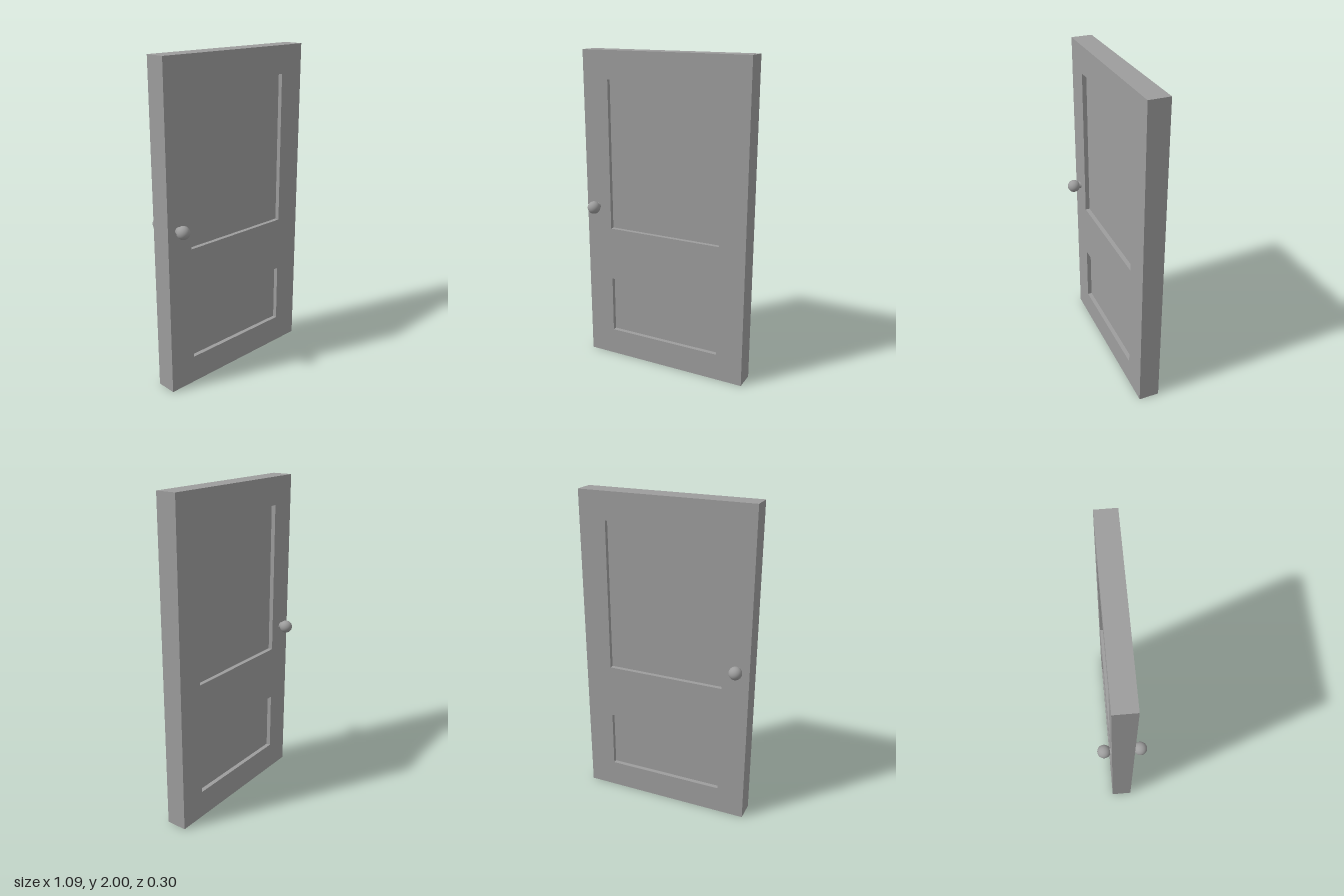
import * as THREE from 'three';

const W = 1.088, H = 2, BACK = -0.066, FRONT = 0.063, RECESS = 0.027;
const PANEL_HALF = 0.374;
const PANELS = [
  { name: 'lowerPanel', y0: 0.174, y1: 0.543 },
  { name: 'upperPanel', y0: 0.888, y1: 1.829 },
];
const KNOB = { x: -0.47, y: 1.028, z: 0.108, r: 0.04 };

function rect(PathType, x0, y0, x1, y1) {
  return new PathType([[x0, y0], [x1, y0], [x1, y1], [x0, y1]].map(([x, y]) => new THREE.Vector2(x, y)));
}

export function createModel() {
  const door = new THREE.Group();
  door.name = 'door';
  const material = new THREE.MeshStandardMaterial({ color: 0x9d9d9d });
  const add = (name, geometry, parent = door) => {
    const mesh = new THREE.Mesh(geometry, material);
    mesh.name = name;
    parent.add(mesh);
    return mesh;
  };

  // Frame: one slab with two openings
  const outline = rect(THREE.Shape, -W / 2, 0, W / 2, H);
  for (const p of PANELS) outline.holes.push(rect(THREE.Path, -PANEL_HALF, p.y0, PANEL_HALF, p.y1));
  const frame = new THREE.ExtrudeGeometry(outline, { depth: FRONT - BACK, bevelEnabled: false });
  add('frame', frame).position.z = BACK;

  // Panels, set back from both faces
  for (const p of PANELS) {
    const geometry = new THREE.BoxGeometry(PANEL_HALF * 2, p.y1 - p.y0, FRONT - BACK - 2 * RECESS);
    add(p.name, geometry).position.set(0, (p.y0 + p.y1) / 2, (FRONT + BACK) / 2);
  }

  // Knobs: a ball on a short neck with a rim, one on each face
  const neckProfile = [[0.0225, 0.055], [0.0225, 0.068], [0.0205, 0.07], [0.0205, 0.08]]
    .map(([r, z]) => new THREE.Vector2(r, z));
  for (const [name, side] of [['frontKnob', 1], ['backKnob', -1]]) {
    const knob = new THREE.Group();
    knob.name = name;
    knob.position.set(KNOB.x, KNOB.y, 0);
    knob.rotation.x = side * Math.PI / 2;
    add('neck', new THREE.LatheGeometry(neckProfile, 32), knob);
    add('ball', new THREE.SphereGeometry(KNOB.r, 32, 20), knob).position.y = KNOB.z;
    door.add(knob);
  }
  return door;
}
